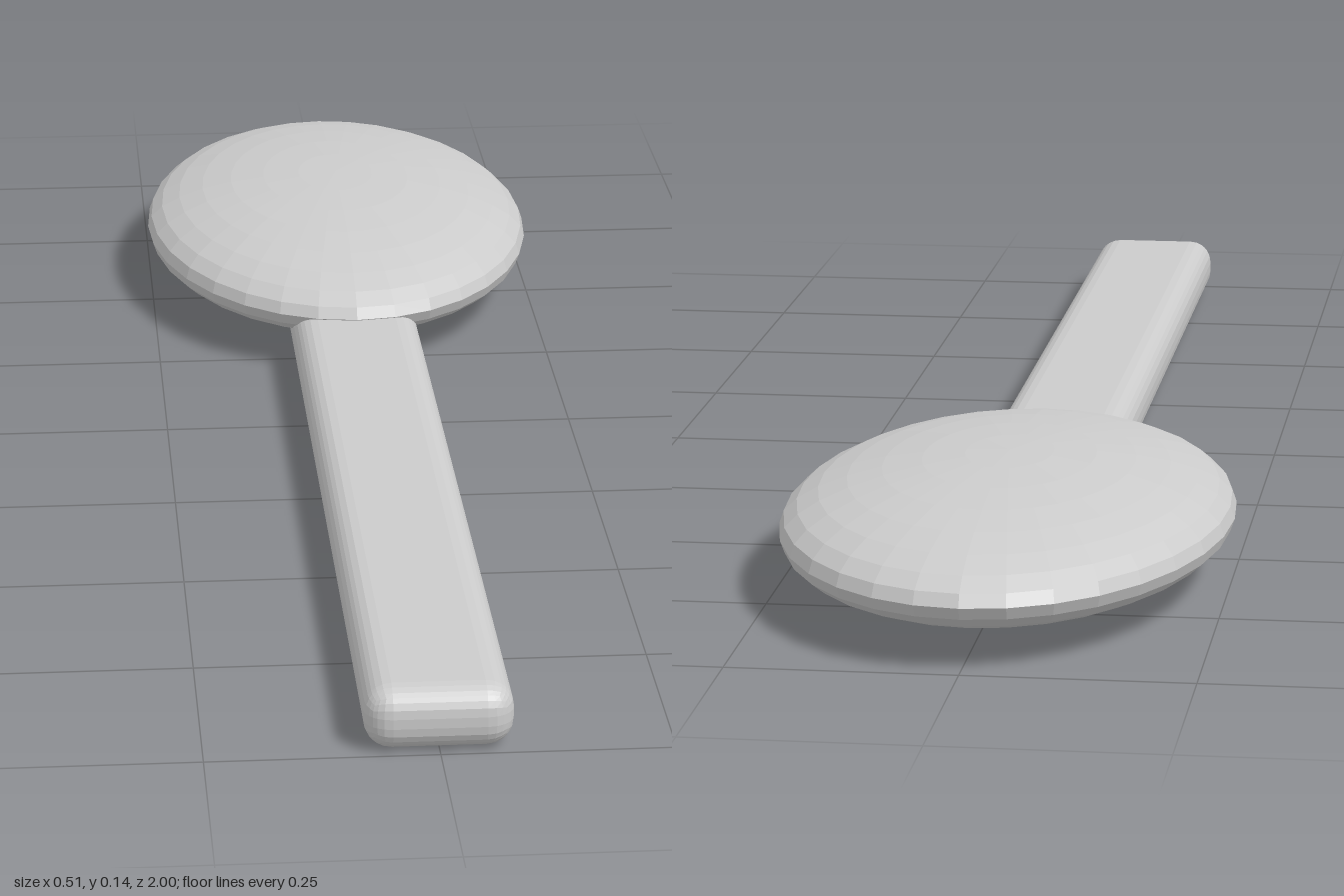
import * as THREE from 'three';
import { RoundedBoxGeometry } from 'three/addons/geometries/RoundedBoxGeometry.js';

export function createModel() {
  const group = new THREE.Group();
  group.name = 'spoon';
  const material = new THREE.MeshStandardMaterial({ color: 0xcccccc, flatShading: true });

  // Flattened oval head at the back
  const headGeometry = new THREE.SphereGeometry(1, 32, 16);
  headGeometry.scale(0.253, 0.072, 0.406);
  const head = new THREE.Mesh(headGeometry, material);
  head.name = 'head';
  head.position.set(0, 0.072, -0.594);
  group.add(head);

  // Flat bar with rounded edges, its rear end sunk into the underside of the head
  const front = 1, back = -0.35, height = 0.071;
  const handle = new THREE.Mesh(
    new RoundedBoxGeometry(0.16, height, front - back, 3, 0.03), material);
  handle.name = 'handle';
  handle.position.set(0, height / 2, (front + back) / 2);
  group.add(handle);

  return group;
}
